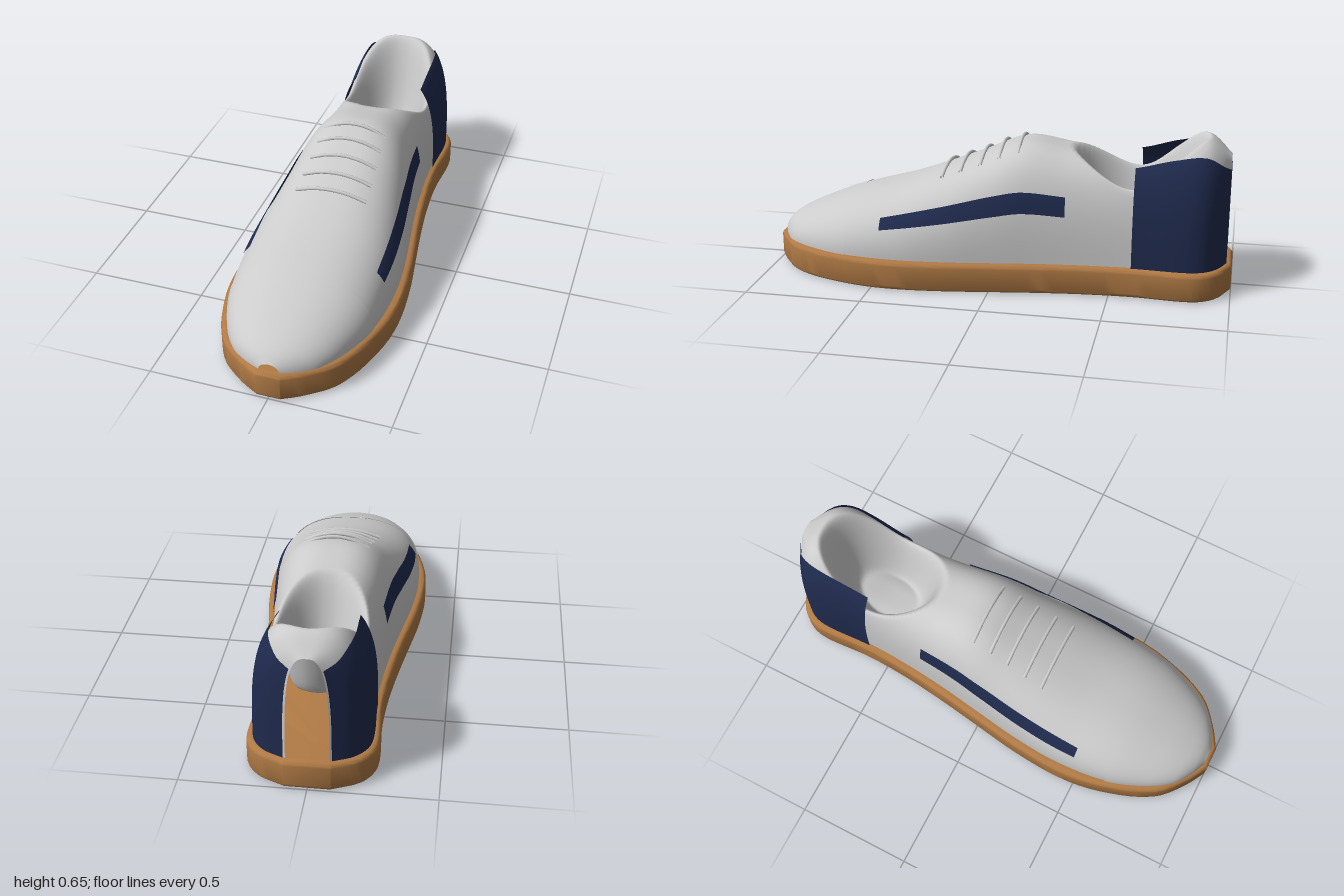
import * as THREE from 'three';
import { toCreasedNormals } from 'three/addons/utils/BufferGeometryUtils.js';

const SOLE_TOP = 0.125;

// Smooth interpolation through [z, value] pairs listed from front (+z) to back (-z)
function smoothTable(points) {
  const slope = (i) => {
    const a = points[Math.max(i - 1, 0)], b = points[Math.min(i + 1, points.length - 1)];
    return (b[1] - a[1]) / (b[0] - a[0]);
  };
  return (z) => {
    let i = 0;
    while (i < points.length - 2 && z < points[i + 1][0]) i++;
    const [z0, v0] = points[i], [z1, v1] = points[i + 1];
    const d = z1 - z0, t = THREE.MathUtils.clamp((z - z0) / d, 0, 1), s = 1 - t;
    return v0 * (1 + 2 * t) * s * s + slope(i) * d * t * s * s
      + v1 * t * t * (3 - 2 * t) - slope(i + 1) * d * t * t * s;
  };
}

const soleWidth = smoothTable([[1, 0.05], [0.96, 0.12], [0.88, 0.22], [0.8, 0.272], [0.7, 0.312],
  [0.55, 0.35], [0.4, 0.361], [0.2, 0.346], [0, 0.315], [-0.2, 0.284], [-0.4, 0.26], [-0.6, 0.25],
  [-0.8, 0.26], [-0.88, 0.248], [-0.95, 0.195], [-1, 0.09]]);
const upperWidth = smoothTable([[0.98, 0.04], [0.95, 0.105], [0.9, 0.175], [0.8, 0.243], [0.63, 0.306],
  [0.4, 0.328], [0.2, 0.315], [0, 0.285], [-0.2, 0.254], [-0.4, 0.232], [-0.6, 0.222], [-0.8, 0.228],
  [-0.88, 0.212], [-0.94, 0.16], [-0.975, 0.085]]);
const upperHeight = smoothTable([[0.98, 0.155], [0.95, 0.19], [0.9, 0.223], [0.8, 0.27], [0.63, 0.335],
  [0.4, 0.402], [0.23, 0.465], [0.06, 0.535], [-0.06, 0.588], [-0.15, 0.602], [-0.31, 0.577], [-0.45, 0.57],
  [-0.6, 0.59], [-0.75, 0.635], [-0.88, 0.65], [-0.975, 0.575]]);
// Exponent of the rounded cross-section: squarer towards the heel
const roundness = smoothTable([[0.98, 2.1], [0.6, 2.25], [0.2, 2.45], [-0.3, 2.9], [-0.6, 3], [-0.98, 3]]);

// Point on the upper at angle t (0 = left base, PI = right base)
function upperPoint(t, z, offset = 0) {
  const p = 2 / roundness(z), c = Math.cos(t);
  return new THREE.Vector3(
    Math.sign(c) * Math.abs(c) ** p * (upperWidth(z) + offset),
    SOLE_TOP - 0.003 + Math.max(Math.sin(t), 0) ** p * (upperHeight(z) - SOLE_TOP + 0.003 + offset), z);
}

// Foot opening: the surface sinks smoothly inside an ellipse
function sinkCollar(p) {
  const r = Math.hypot(p.x / 0.2, (p.z + 0.6) / 0.29);
  p.y -= 0.37 * (1 - THREE.MathUtils.smoothstep(r, 0.45, 1));
  return p;
}

// Grid surface; u runs left to right, v runs front to back
function gridSurface(fn, nu, nv) {
  const pos = [], index = [];
  for (let j = 0; j <= nv; j++) {
    for (let i = 0; i <= nu; i++) pos.push(...fn(i / nu, j / nv).toArray());
  }
  for (let j = 0; j < nv; j++) {
    for (let i = 0; i < nu; i++) {
      const a = j * (nu + 1) + i, b = a + 1, c = a + nu + 1;
      index.push(a, c, b, b, c, c + 1);
    }
  }
  const g = new THREE.BufferGeometry();
  g.setAttribute('position', new THREE.Float32BufferAttribute(pos, 3));
  g.setIndex(index);
  g.computeVertexNormals();
  return g;
}

function soleGeometry() {
  const right = [], left = [], n = 56;
  for (let i = 0; i <= n; i++) {
    const z = Math.cos((i / n) * Math.PI), w = soleWidth(z);
    left.push(new THREE.Vector2(w, z));
    right.unshift(new THREE.Vector2(-w, z));
  }
  const g = new THREE.ExtrudeGeometry(new THREE.Shape([...left, ...right]), {
    depth: SOLE_TOP - 0.04, bevelThickness: 0.02, bevelSize: 0.02, bevelOffset: -0.02, bevelSegments: 4,
  });
  g.rotateX(Math.PI / 2).translate(0, SOLE_TOP - 0.02, 0);
  return toCreasedNormals(g, 0.6);
}

export function createModel() {
  const model = new THREE.Group();
  model.name = 'shoe';
  const grey = new THREE.MeshStandardMaterial({ color: 0xcccccc, side: THREE.DoubleSide });
  const navy = new THREE.MeshStandardMaterial({ color: 0x1f2a4d, side: THREE.DoubleSide });
  const gum = new THREE.MeshStandardMaterial({ color: 0xb07a45 });
  const add = (name, geometry, material) => {
    const mesh = new THREE.Mesh(geometry, material);
    mesh.name = name;
    model.add(mesh);
  };
  const lerp = THREE.MathUtils.lerp;

  add('sole', soleGeometry(), gum);

  // Upper shell, open at the heel
  add('upper', gridSurface((u, v) =>
    sinkCollar(upperPoint(u * Math.PI, lerp(0.63, -0.975, Math.sin(v * Math.PI / 2)))), 96, 110), grey);

  // Toe cap, slightly proud, with a small gap at the tip
  add('toeCap', gridSurface((u, v) =>
    upperPoint(u * Math.PI, lerp(0.98, 0.625, 1 - Math.cos(v * Math.PI / 2)), 0.003), 72, 30), grey);

  // Heel panels and side stripes, one per side
  const stripeLow = smoothTable([[0.47, 0.245], [0.2, 0.289], [-0.02, 0.328], [-0.13, 0.343], [-0.31, 0.333]]);
  const stripeHigh = smoothTable([[0.47, 0.29], [0.2, 0.356], [-0.02, 0.412], [-0.13, 0.43], [-0.31, 0.415]]);
  for (const [side, s] of [['left', 1], ['right', -1]]) {
    add(side + 'HeelPanel', gridSurface((u, v) => {
      const t = 0.97 * (s > 0 ? u : 1 - u);
      const p = upperPoint(t, lerp(-0.59, -0.977, Math.sin(v * Math.PI / 2)), 0.008);
      p.x *= s;
      return p;
    }, 24, 30), navy);
    add(side + 'Stripe', gridSurface((u, v) => {
      const z = lerp(0.47, -0.31, v), n = roundness(z);
      const y = lerp(stripeLow(z), stripeHigh(z), s > 0 ? u : 1 - u);
      const f = (y - SOLE_TOP) / (upperHeight(z) - SOLE_TOP);
      return new THREE.Vector3(s * (upperWidth(z) * (1 - f ** n) ** (1 / n) + 0.007), y, z);
    }, 6, 40), navy);
  }

  // Laces arching across the instep
  [0.23, 0.15, 0.065, -0.015, -0.095].forEach((z, i) => {
    const half = lerp(0.155, 0.138, i / 4), top = upperHeight(z) + 0.012, drop = lerp(0.03, 0.045, i / 4);
    const points = [-1, -0.5, 0, 0.5, 1].map((k) => new THREE.Vector3(k * half, top - drop * k * k, z));
    const curve = new THREE.CatmullRomCurve3(points);
    add('lace' + (i + 1), new THREE.TubeGeometry(curve, 24, 0.0075, 8), grey);
  });

  return model;
}
